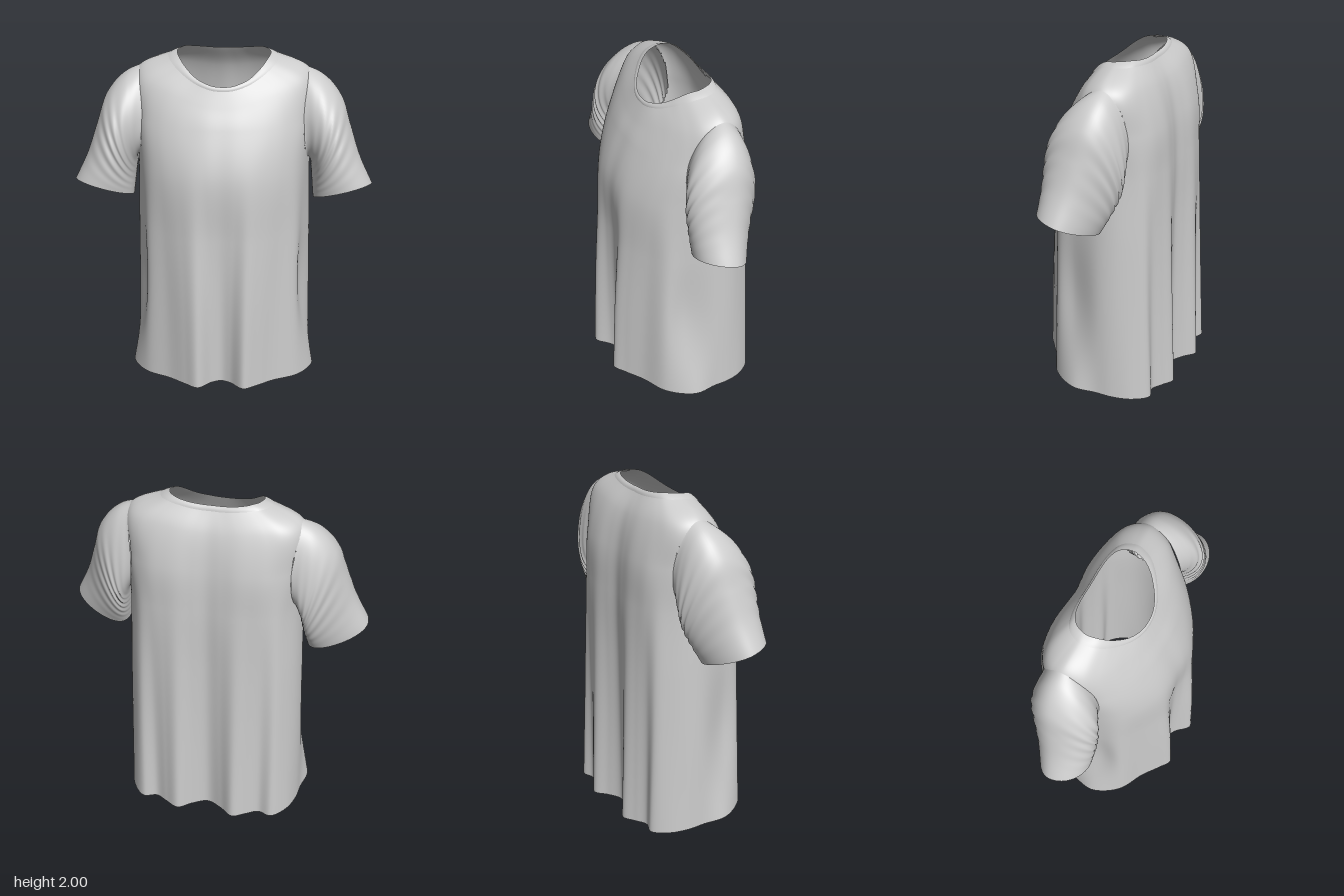
import * as THREE from 'three';

const V = (x, y, z) => new THREE.Vector3(x, y, z);

// Half outlines run front centre -> left side -> back centre.
// Hem and thigh level with deep folds, smooth chest and upper chest: [x, z]
const HEM = [[0, .322], [.055, .345], [.135, .418], [.215, .37], [.31, .3], [.46, .215], [.55, .06], [.53, -.08],
  [.52, -.18], [.48, -.29], [.4, -.37], [.32, -.35], [.25, -.385], [.17, -.423], [.09, -.37], [0, -.33]];
const THIGH = [[0, .332], [.06, .35], [.14, .395], [.22, .355], [.315, .285], [.435, .205], [.455, .085], [.515, -.08],
  [.508, -.18], [.46, -.28], [.4, -.345], [.32, -.345], [.25, -.373], [.17, -.4], [.08, -.36], [0, -.335]];
const CHEST = [[0, .34], [.08, .342], [.16, .333], [.25, .3], [.34, .25], [.42, .18], [.47, .08], [.5, -.08],
  [.485, -.18], [.44, -.26], [.39, -.315], [.32, -.345], [.25, -.36], [.17, -.37], [.08, -.358], [0, -.345]];
const UPPER = [[0, .255], [.09, .253], [.18, .238], [.27, .213], [.36, .172], [.44, .11], [.49, .02], [.505, -.1],
  [.49, -.18], [.455, -.245], [.4, -.293], [.33, -.33], [.25, -.347], [.17, -.352], [.08, -.34], [0, -.33]];
// Shoulder and neckline: [x, y, z]
const SHOULDER = [[0, 1.75, .198], [.08, 1.755, .193], [.155, 1.77, .175], [.23, 1.79, .148], [.315, 1.815, .11],
  [.4, 1.835, .062], [.465, 1.86, 0], [.495, 1.888, -.1], [.48, 1.882, -.165], [.445, 1.875, -.215],
  [.39, 1.875, -.248], [.31, 1.875, -.268], [.23, 1.87, -.28], [.16, 1.86, -.287], [.07, 1.85, -.285], [0, 1.85, -.28]];
const NECK = [[0, 1.86, .14], [.045, 1.862, .137], [.09, 1.872, .125], [.14, 1.89, .1], [.18, 1.915, .07],
  [.22, 1.95, .03], [.25, 1.98, -.02], [.265, 1.993, -.08], [.26, 1.998, -.11], [.245, 2, -.145], [.22, 2, -.17],
  [.19, 1.995, -.185], [.15, 1.99, -.195], [.1, 1.985, -.2], [.045, 1.982, -.2], [0, 1.982, -.2]];

const hemY = z => .0325 + .0774 * z;
const flat = (outline, y) => outline.map(([x, z]) => V(x, y(z), z));
const solid = outline => outline.map(p => V(...p));
const blend = (a, b, t, y) => a.map(([x, z], i) =>
  V(x + (b[i][0] - x) * t, y, z + (b[i][1] - z) * t));

// Close a half outline by mirroring it across x
function closedRing(half) {
  const mirrored = half.slice(1, -1).reverse().map(p => V(-p.x, p.y, p.z));
  return new THREE.CatmullRomCurve3([...half, ...mirrored], true, 'centripetal');
}

// Torso column at u (0..1 around), running from hem to neckline
const RINGS = [
  flat(HEM, hemY), flat(THIGH, () => .58), blend(THIGH, CHEST, .5, 1.0),
  flat(CHEST, () => 1.38), flat(UPPER, () => 1.64), solid(SHOULDER), solid(NECK),
].map(closedRing);
const column = u => new THREE.CatmullRomCurve3(RINGS.map(r => r.getPoint(u)), false, 'centripetal');

// Left armhole: an ellipse in torso coordinates (u around, v up)
const ARM = { u: 7.2 / 30, v: .672, ru: 2.0 / 30, rv: .178 };
const inArmhole = (u, v) =>
  Math.hypot((Math.min(u, 1 - u) - ARM.u) / ARM.ru, (v - ARM.v) / ARM.rv) < .93;

// Surface wrapped in u, open in v, from a rule at(i, v); skip(u, v) leaves holes
function tubeSurface(nu, nv, at, skip = () => false) {
  const pos = [], index = [];
  for (let j = 0; j <= nv; j++) {
    for (let i = 0; i < nu; i++) {
      const p = at(i, j / nv);
      pos.push(p.x, p.y, p.z);
      if (j === nv || skip((i + .5) / nu, (j + .5) / nv)) continue;
      const a = j * nu + i, b = j * nu + (i + 1) % nu;
      index.push(a, b, a + nu, b, b + nu, a + nu);
    }
  }
  const g = new THREE.BufferGeometry();
  g.setAttribute('position', new THREE.Float32BufferAttribute(pos, 3));
  g.setIndex(index);
  g.computeVertexNormals();
  return g;
}

// Sleeve stations: top point, underarm point, front z, back z
const SLEEVE = [
  { o: [.47, 1.905, -.1], i: [.5, 1.4, -.08], f: .08, b: -.25 },
  { o: [.57, 1.862, -.1], i: [.505, 1.35, -.08], f: .135, b: -.27 },
  { o: [.675, 1.74, -.08], i: [.51, 1.3, -.07], f: .162, b: -.265 },
  { o: [.73, 1.58, -.05], i: [.515, 1.25, -.05], f: .165, b: -.24 },
  { o: [.79, 1.4, -.02], i: [.52, 1.195, -.02], f: .162, b: -.2 },
  { o: [.865, 1.24, 0], i: [.525, 1.145, 0], f: .16, b: -.155 },
];

// Left sleeve point: leaves the armhole edge and settles into the sleeve ovals
function sleeveRule(count) {
  const top = new THREE.CatmullRomCurve3(SLEEVE.map(s => V(...s.o)));
  const under = new THREE.CatmullRomCurve3(SLEEVE.map(s => V(...s.i)));
  const depth = new THREE.CatmullRomCurve3(SLEEVE.map(s => V(s.f, s.b, 0)));
  const roots = Array.from({ length: count }, (_, i) => {
    const a = i / count * Math.PI * 2;
    return column(ARM.u - ARM.ru * Math.sin(a)).getPoint(ARM.v + ARM.rv * Math.cos(a));
  });
  return (i, v) => {
    const o = top.getPoint(v), u = under.getPoint(v), d = depth.getPoint(v);
    const angle = i / count * Math.PI * 2, c = Math.cos(angle), s = Math.sin(angle);
    const centre = o.clone().add(u).multiplyScalar(.5);
    const lean = s < 0 ? .2 * s * s : 0; // the back sags toward the underarm
    const p = centre.clone().addScaledVector(o.clone().sub(u), c / 2 - lean);
    const mid = (d.x + d.y) / 2;
    p.z = mid + (p.z - mid) * c * c + s * (d.x - d.y) / 2;
    p.y += .045 * s * v * v; // cuff tilts up at the front
    // soft wrinkles fanning out from the underarm
    const ripple = .005 * Math.sin(Math.PI * v) ** 2 * s * s * Math.sin(v * 50 + c * 4);
    p.addScaledVector(p.clone().sub(centre).normalize(), ripple);
    return roots[i].clone().lerp(p, THREE.MathUtils.smoothstep(v, -.12, .3));
  };
}

export function createModel() {
  const shirt = new THREE.Group();
  shirt.name = 'tShirt';
  const cloth = new THREE.MeshStandardMaterial({ color: 0xcccccc, side: THREE.DoubleSide });
  cloth.name = 'light grey cloth';
  const add = (name, geometry) => {
    const mesh = new THREE.Mesh(geometry, cloth);
    mesh.name = name;
    shirt.add(mesh);
  };

  // Torso with open armholes
  const NU = 240;
  const columns = Array.from({ length: NU }, (_, i) => column(i / NU));
  add('body', tubeSurface(NU, 120, (i, v) => columns[i].getPoint(v), inArmhole));

  // Neckband: a slightly raised strip along the neckline
  add('neckband', tubeSurface(NU, 5, (i, v) => {
    const p = columns[i].getPoint(.965 + .035 * v);
    const out = V(p.x, .1, p.z + .05).normalize();
    return p.addScaledVector(out, .004 * Math.sin(Math.PI * v));
  }));

  // Sleeves, mirrored left and right
  const NS = 80, rule = sleeveRule(NS);
  for (const [name, side] of [['leftSleeve', 1], ['rightSleeve', -1]]) {
    add(name, tubeSurface(NS, 72, (i, v) => {
      const p = rule(side > 0 ? i : (NS - i) % NS, v);
      p.x *= side;
      return p;
    }));
  }
  return shirt;
}
